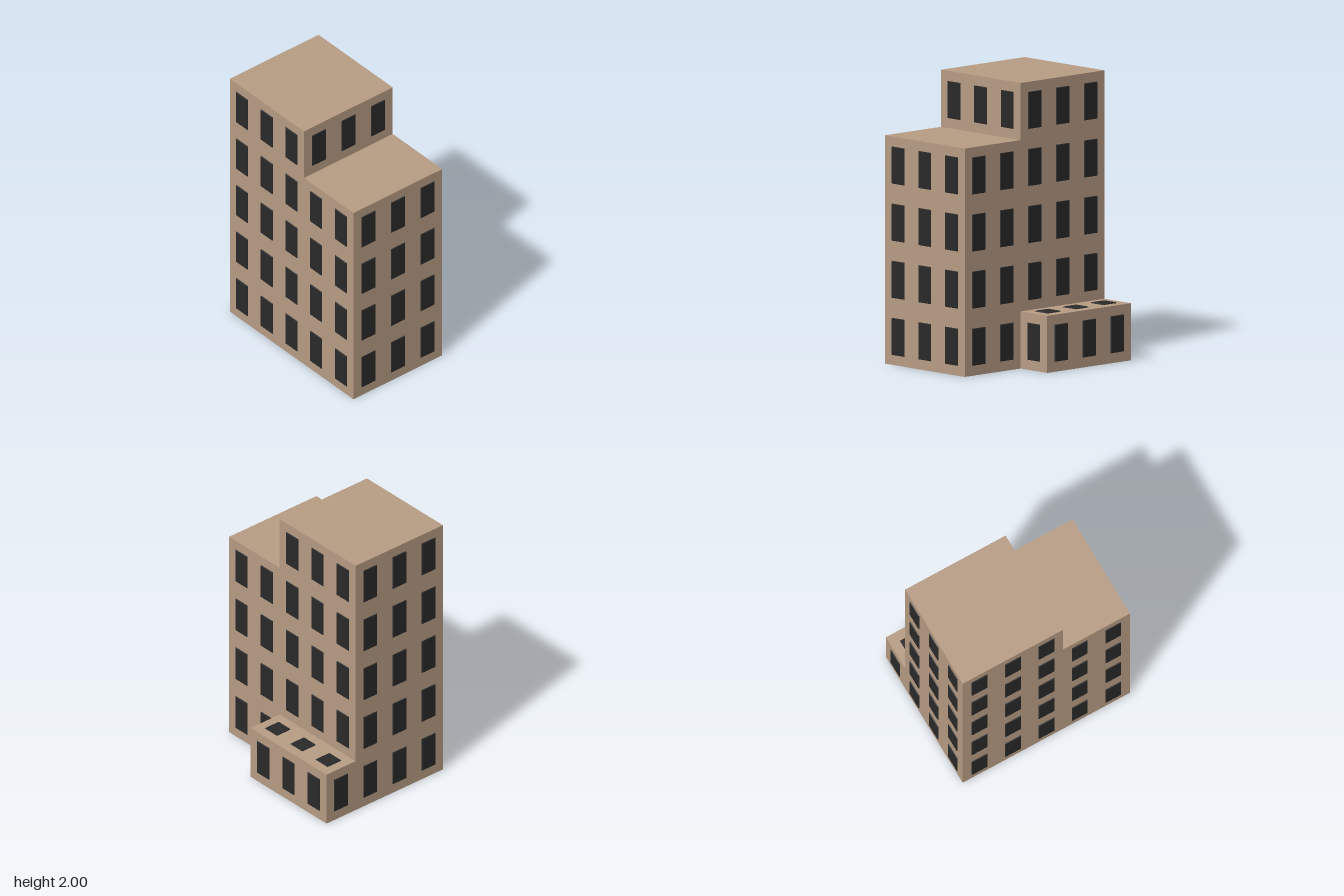
import * as THREE from 'three';

const U = 0.4 / 3;          // window width; all sizes are multiples of it
const STOREY = 3 * U;       // storey height

export function createModel() {
  const building = new THREE.Group();
  building.name = 'building';
  const wallMat = new THREE.MeshStandardMaterial({ color: 0xb89d85 });
  const paneMat = new THREE.MeshStandardMaterial({ color: 0x2a2a2a });

  // Stepped main block, extruded from its front outline
  const outline = new THREE.Shape([
    [-5, 0], [5, 0], [5, 12], [1, 12], [1, 15], [-5, 15],
  ].map(([x, y]) => new THREE.Vector2(x * U, y * U)));
  const blockGeo = new THREE.ExtrudeGeometry(outline, { depth: 6 * U, bevelEnabled: false });
  blockGeo.translate(0, 0, -2 * U);
  const block = new THREE.Mesh(blockGeo, wallMat);
  block.name = 'mainBlock';
  building.add(block);

  // Low annex behind the block
  const annex = new THREE.Mesh(new THREE.BoxGeometry(6 * U, STOREY, 2 * U), wallMat);
  annex.name = 'annex';
  annex.position.set(-2 * U, STOREY / 2, -3 * U);
  building.add(annex);

  // Window pane: thin slab whose outer face is slightly smaller
  function paneGeometry(w, h) {
    const geo = new THREE.BoxGeometry(w, h, 0.012);
    const p = geo.attributes.position;
    const inset = 0.007;
    for (let i = 0; i < p.count; i++) {
      if (p.getZ(i) > 0) {
        p.setX(i, p.getX(i) - Math.sign(p.getX(i)) * inset);
        p.setY(i, p.getY(i) - Math.sign(p.getY(i)) * inset);
      }
    }
    geo.computeVertexNormals();
    return geo;
  }
  const windowGeo = paneGeometry(U, 2 * U);
  const skylightGeo = paneGeometry(U, U);

  function addPane(name, geo, x, y, z, rx, ry) {
    const pane = new THREE.Mesh(geo, paneMat);
    pane.name = name;
    pane.position.set(x, y, z);
    pane.rotation.set(rx, ry, 0);
    building.add(pane);
  }

  const columns = [-4, -2, 0, 2, 4];
  const sideColumns = [3, 1, -1];
  for (let floor = 0; floor < 5; floor++) {
    const y = (floor + 0.5) * STOREY;
    const top = floor === 4;

    // Front and back windows; the top floor is three bays wide
    for (const c of columns) {
      if (top && c > 0) continue;
      addPane('frontWindow', windowGeo, c * U, y, 4 * U, 0, 0);
      if (floor > 0 || c > 0) addPane('backWindow', windowGeo, c * U, y, -2 * U, 0, Math.PI);
    }

    // Side windows, with the top floor's left wall set back
    for (const c of sideColumns) {
      addPane('leftWindow', windowGeo, (top ? 1 : 5) * U, y, c * U, 0, Math.PI / 2);
      addPane('rightWindow', windowGeo, -5 * U, y, c * U, 0, -Math.PI / 2);
    }
  }

  // Annex windows and skylights
  for (const c of [-4, -2, 0]) {
    addPane('annexBackWindow', windowGeo, c * U, STOREY / 2, -4 * U, 0, Math.PI);
    addPane('annexSkylight', skylightGeo, c * U, STOREY, -3 * U, -Math.PI / 2, 0);
  }
  addPane('annexLeftWindow', windowGeo, U, STOREY / 2, -3 * U, 0, Math.PI / 2);
  addPane('annexRightWindow', windowGeo, -5 * U, STOREY / 2, -3 * U, 0, -Math.PI / 2);

  return building;
}
